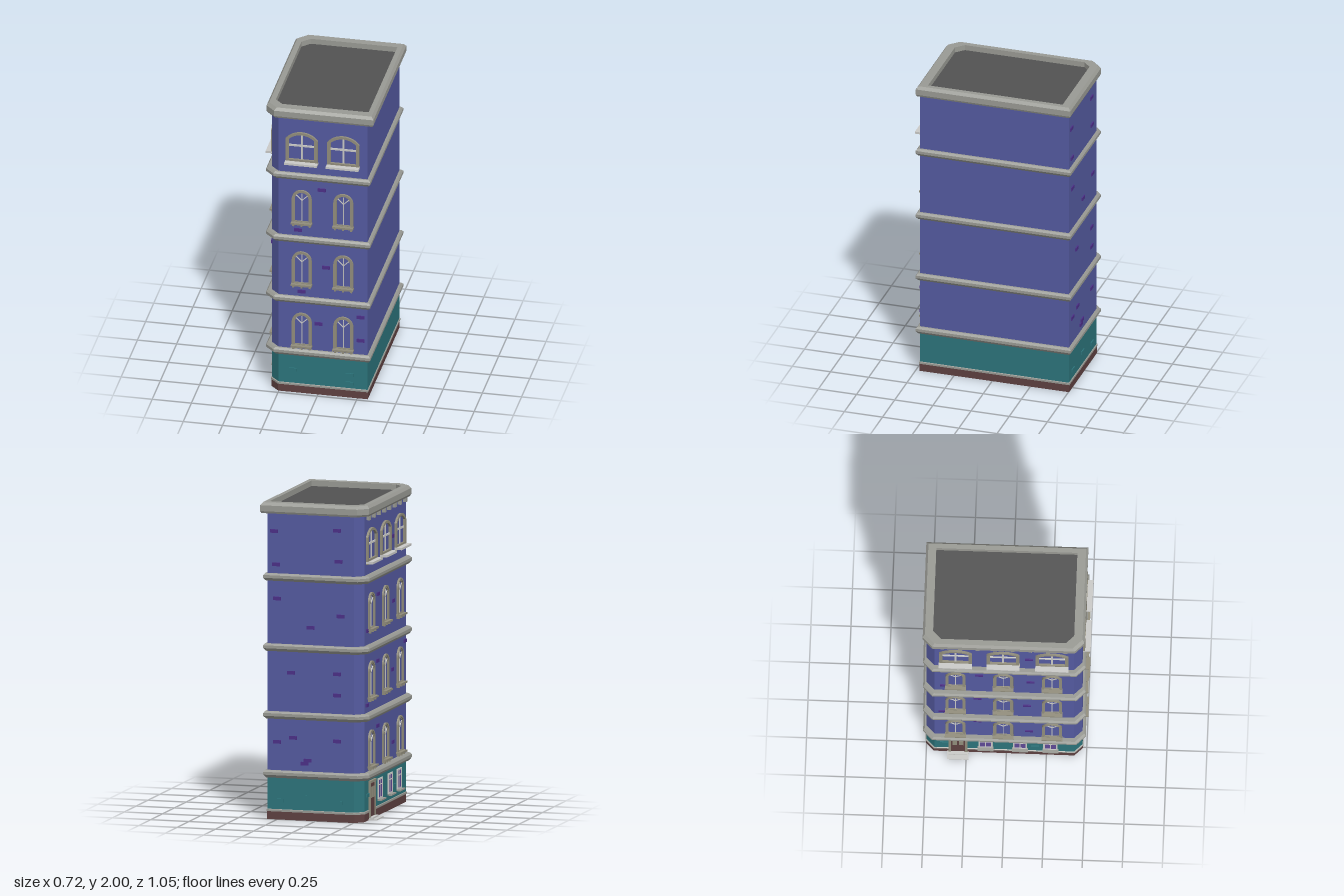
import * as THREE from 'three';

const mat = (name, color, side = THREE.FrontSide) => {
  const m = new THREE.MeshStandardMaterial({ color, side });
  m.name = name;
  return m;
};

export function createModel() {
  const M = {
    wall: mat('blue wall', 0x545aa0),
    teal: mat('teal wall', 0x2c747b, THREE.DoubleSide),
    base: mat('brown base', 0x5e4040),
    stone: mat('grey stone', 0x999a94),
    frame: mat('window stone', 0x918d7c),
    light: mat('light trim', 0xcacac8),
    brick: mat('purple brick', 0x4c2f88),
    glass: mat('violet glass', 0x5f4a96),
    roof: mat('dark roof', 0x525252, THREE.DoubleSide),
  };
  const root = new THREE.Group();
  root.name = 'building';

  const add = (parent, name, geo, material, x = 0, y = 0, z = 0) => {
    const m = new THREE.Mesh(geo, material);
    m.name = name;
    m.position.set(x, y, z);
    parent.add(m);
    return m;
  };
  const box = (parent, name, material, w, h, d, x, y, z) =>
    add(parent, name, new THREE.BoxGeometry(w, h, d), material, x, y, z);

  // Footprint: a rectangle with both corners cut on the -x side, grown by o
  const WALL = [-0.304, 0.315, -0.502, 0.474, 0.052];
  const footprint = ([x0, x1, z0, z1, c], o = 0) => {
    x0 -= o; x1 += o; z0 -= o; z1 += o;
    return [[x0 + c, z1], [x1, z1], [x1, z0], [x0 + c, z0], [x0, z0 + c], [x0, z1 - c]];
  };

  // Faceted skin joining footprints at successive heights: [extents, offset, y]
  const loft = (name, levels, material) => {
    const pos = [];
    for (let i = 0; i < levels.length - 1; i++) {
      const [ea, oa, ya] = levels[i], [eb, ob, yb] = levels[i + 1];
      const A = footprint(ea, oa), B = footprint(eb, ob);
      for (let j = 0; j < 6; j++) {
        const k = (j + 1) % 6;
        const a = [A[j][0], ya, A[j][1]], b = [A[k][0], ya, A[k][1]];
        const c = [B[k][0], yb, B[k][1]], d = [B[j][0], yb, B[j][1]];
        pos.push(...a, ...b, ...c, ...a, ...c, ...d);
      }
    }
    const g = new THREE.BufferGeometry();
    g.setAttribute('position', new THREE.Float32BufferAttribute(pos, 3));
    g.computeVertexNormals();
    return add(root, name, g, material);
  };

  const slab = (name, ext, o, y, material) => {
    const s = new THREE.Shape(footprint(ext, o).map(([x, z]) => new THREE.Vector2(x, -z)));
    add(root, name, new THREE.ShapeGeometry(s).rotateX(-Math.PI / 2), material, 0, y, 0);
  };

  // Hollow plinth, ground floor and upper walls
  loft('plinth', [[WALL, -0.012, 0.05], [WALL, -0.012, 0], [WALL, 0.002, 0], [WALL, 0.002, 0.052]], M.base);
  loft('plinthTrim', [[WALL, 0, 0.05], [WALL, 0.005, 0.05], [WALL, 0.005, 0.062], [WALL, 0, 0.065]], M.stone);
  loft('groundFloorWall', [[WALL, 0, 0.05], [WALL, 0, 0.28]], M.teal);
  slab('groundFloorCeiling', WALL, 0, 0.275, M.roof);
  loft('upperWall', [[WALL, 0, 0.28], [WALL, 0, 1.95]], M.wall);

  // Moulded bands between floors
  const BAND = [-0.339, 0.336, -0.521, 0.495, 0.058];
  for (const y of [0.263, 0.635, 1.062, 1.506])
    loft('floorBand', [[WALL, 0, y], [BAND, -0.014, y], [BAND, 0, y + 0.018],
      [BAND, 0, y + 0.036], [BAND, -0.01, y + 0.048], [WALL, 0, y + 0.048]], M.stone);

  // Cornice with sunken roof
  const TOP = [-0.338, 0.355, -0.524, 0.488, 0.06];
  const INNER = [-0.29, 0.311, -0.46, 0.421, 0.05];
  loft('cornice', [[WALL, 0, 1.932], [TOP, -0.006, 1.932], [TOP, 0, 1.945], [TOP, 0, 1.982],
    [TOP, -0.014, 2], [INNER, 0, 2], [INNER, 0, 1.965]], M.stone);
  slab('roof', INNER, 0, 1.965, M.roof);

  // Arched outline rising from y0 to a springing line, capped by an arc
  const archPath = (Type, hw, y0, spring, rise) => {
    const R = (hw * hw + rise * rise) / (2 * rise);
    const a = Math.asin(Math.min(1, hw / R));
    const p = new Type();
    p.moveTo(-hw, y0);
    p.lineTo(hw, y0);
    p.absarc(0, spring + rise - R, R, Math.PI / 2 - a, Math.PI / 2 + a, false);
    p.closePath();
    return p;
  };
  const archFrame = (hw, y0, spring, rise, t, bottom, depth) => {
    const s = archPath(THREE.Shape, hw, y0, spring, rise);
    s.holes.push(archPath(THREE.Path, hw - t, y0 + bottom, spring, rise - t * 0.75));
    return new THREE.ExtrudeGeometry(s, { depth, bevelEnabled: false, curveSegments: 10 });
  };
  const smallFrame = archFrame(0.063, 0, 0.171, 0.063, 0.014, 0.012, 0.012);
  const smallRim = archFrame(0.05, 0.01, 0.171, 0.05, 0.007, 0.006, 0.007);
  const largeFrame = archFrame(0.103, 0, 0.172, 0.05, 0.022, 0.032, 0.014);

  const group = (parent, name, x, y) => {
    const g = new THREE.Group();
    g.name = name;
    g.position.set(x, y, 0);
    parent.add(g);
    return g;
  };

  // Round-headed window with fan bars, sill and corbels
  const smallWindow = (parent, x, y) => {
    const g = group(parent, 'archedWindow', x, y);
    add(g, 'frame', smallFrame, M.frame);
    add(g, 'innerRim', smallRim, M.frame);
    box(g, 'mullion', M.light, 0.005, 0.2, 0.005, 0, 0.11, 0.0025);
    for (const s of [-1, 1])
      box(g, 'fanBar', M.light, 0.005, 0.058, 0.005, s * 0.02, 0.18, 0.0025).rotation.z = -s * 0.8;
    box(g, 'sill', M.frame, 0.132, 0.012, 0.032, 0, 0.004, 0.016);
    for (const cx of [-0.052, 0, 0.052])
      box(g, 'corbel', M.frame, 0.012, 0.018, 0.02, cx, -0.009, 0.01);
  };

  // Wide segmental window with cross bars and a deep sill
  const largeWindow = (parent, x) => {
    const g = group(parent, 'wideWindow', x, 1.62);
    add(g, 'frame', largeFrame, M.frame);
    box(g, 'mullion', M.light, 0.012, 0.185, 0.007, 0, 0.12, 0.0035);
    box(g, 'crossBar', M.light, 0.164, 0.012, 0.007, 0, 0.127, 0.0035);
    box(g, 'sill', M.light, 0.208, 0.014, 0.048, 0, 0.012, 0.024);
  };

  const bricks = (parent, list) => {
    for (const [x, y] of list)
      box(parent, 'raisedBrick', y < 0.26 ? M.teal : M.brick, 0.05, 0.022, 0.012, x, y, 0.001);
  };

  const facade = (name, x, z, turn) => {
    const g = group(root, name, x, 0);
    g.position.z = z;
    g.rotation.y = turn;
    return g;
  };
  const front = facade('frontFacade', 0, WALL[3], 0);
  const side = facade('streetFacade', WALL[0], 0, -Math.PI / 2);
  const back = facade('backFacade', 0, WALL[2], Math.PI);

  for (const [wall, centres] of [[front, [-0.103, 0.162]], [side, [-0.318, -0.02, 0.285]]])
    for (const c of centres) {
      for (const y of [0.332, 0.766, 1.2]) smallWindow(wall, c, y);
      largeWindow(wall, c);
    }

  // Ground-floor windows on the street side
  for (const x of [-0.13, 0.085, 0.275]) {
    const g = group(side, 'shopWindow', x, 0.168);
    box(g, 'glass', M.glass, 0.076, 0.12, 0.008, 0, 0, 0);
    for (const s of [-1, 1]) {
      box(g, 'jamb', M.light, 0.01, 0.13, 0.016, s * 0.04, 0, 0);
      box(g, 'rail', M.light, 0.09, 0.01, 0.016, 0, s * 0.06, 0);
    }
    box(g, 'mullion', M.light, 0.006, 0.12, 0.012, 0, 0, 0);
    box(g, 'crossBar', M.light, 0.076, 0.006, 0.012, 0, 0.025, 0);
    box(g, 'sill', M.stone, 0.1, 0.01, 0.028, 0, -0.068, 0.014);
  }

  // Door with surround and step
  const door = group(side, 'door', -0.302, 0);
  box(door, 'doorLeaf', M.base, 0.09, 0.21, 0.012, 0, 0.12, 0);
  for (const s of [-1, 1]) {
    box(door, 'doorJamb', M.frame, 0.014, 0.225, 0.02, s * 0.052, 0.127, 0);
    box(door, 'doorPanel', M.frame, 0.03, 0.07, 0.004, s * 0.02, 0.17, 0.007);
  }
  box(door, 'doorHead', M.frame, 0.118, 0.014, 0.024, 0, 0.24, 0.002);
  box(door, 'lowerStep', M.light, 0.135, 0.008, 0.056, 0, 0.004, 0.028);
  box(door, 'upperStep', M.light, 0.115, 0.01, 0.028, 0, 0.013, 0.014);

  // Brackets under the street-side cornice
  for (let i = 0; i < 8; i++)
    box(side, 'corniceBracket', M.stone, 0.024, 0.032, 0.022, -0.4 + i * 0.11, 1.917, 0.011);

  // Scattered raised bricks
  bricks(front, [[0.024, 1.447], [-0.127, 1.15], [0.05, 0.902], [-0.106, 0.717], [0.272, 0.574],
    [0.003, 0.5], [0.272, 0.41], [-0.16, 0.16], [0.2, 0.16], [0.2, 0.1]]);
  bricks(side, [[-0.39, 1.2], [-0.18, 0.98], [0.15, 1.31], [-0.18, 0.57], [0.13, 0.88],
    [0.4, 1.02], [-0.17, 1.4], [0.14, 0.42], [0.14, 1.72], [-0.4, 0.73], [-0.39, 0.16], [0.18, 0.14]]);
  bricks(back, [[0.27, 1.82], [0.256, 1.61], [-0.14, 1.84], [-0.15, 1.645], [0.25, 1.395], [0.03, 1.22],
    [-0.163, 1.3], [0.16, 0.93], [-0.14, 0.8], [-0.14, 0.934], [0.25, 0.49], [0.146, 0.52], [0.05, 0.38],
    [0.07, 0.36], [-0.14, 0.51], [0.235, 0.12], [0.04, 0.15], [-0.15, 0.12]].map(([x, y]) => [-x, y]));

  return root;
}
